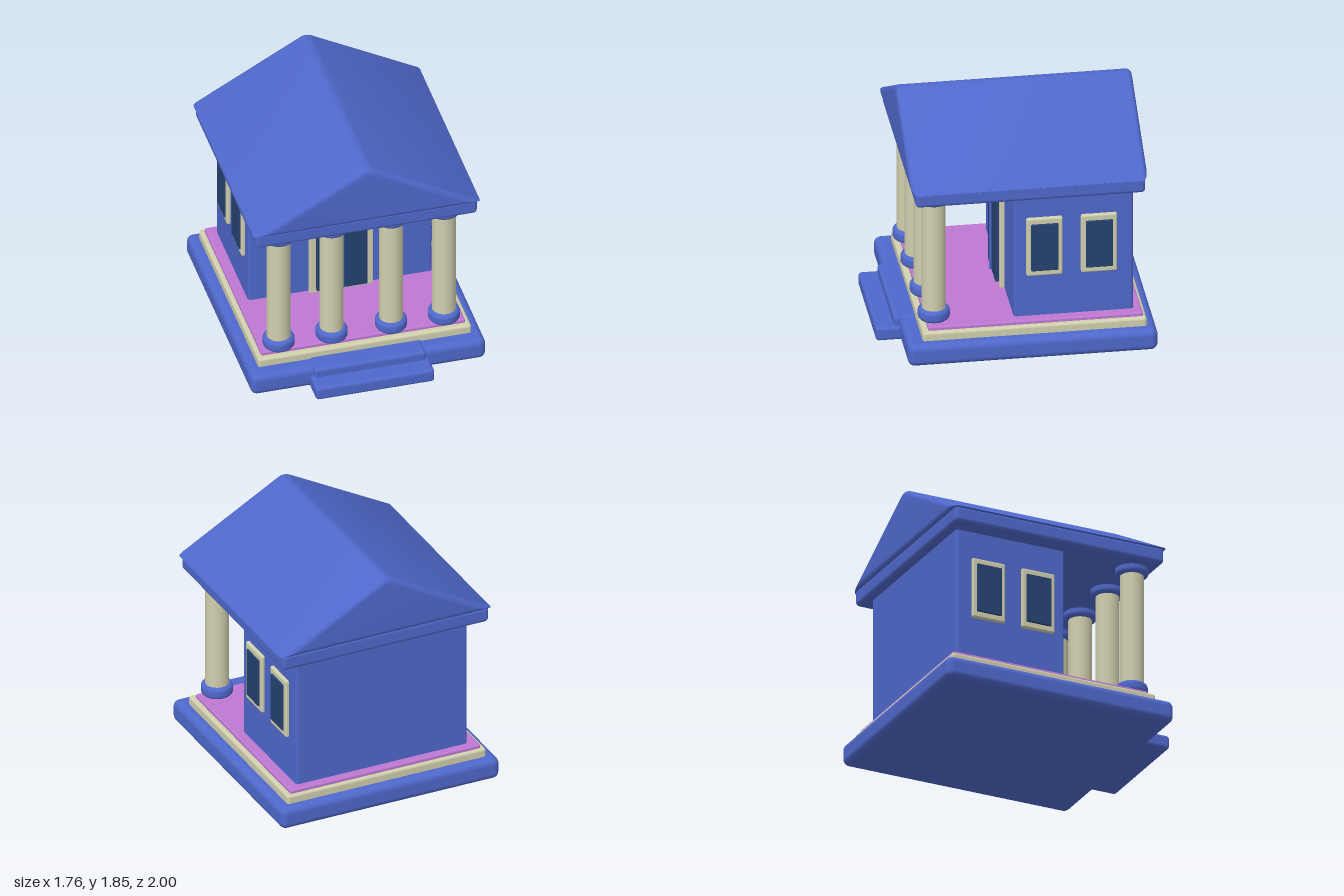
import * as THREE from 'three';
import { mergeVertices, toCreasedNormals } from 'three/addons/utils/BufferGeometryUtils.js';
import { RoundedBoxGeometry } from 'three/addons/geometries/RoundedBoxGeometry.js';

const material = (name, color) => {
  const m = new THREE.MeshStandardMaterial({ color });
  m.name = name;
  return m;
};

// Ridge roof: rounded triangle swept along z, shrinking towards its incentre at both gables
function roofGeometry(halfWidth, height, depth, bevel) {
  const r = halfWidth * Math.tan(Math.atan2(height, halfWidth) / 2);
  const s = new THREE.Shape();
  const slope = height / halfWidth;
  const tip = 0.045, eave = 0.015;
  s.moveTo(-halfWidth + eave, 0);
  s.lineTo(halfWidth - eave, 0);
  s.quadraticCurveTo(halfWidth, 0, halfWidth - eave, eave * slope);
  s.lineTo(tip, height - tip * slope);
  s.quadraticCurveTo(0, height, -tip, height - tip * slope);
  s.lineTo(-halfWidth + eave, eave * slope);
  s.quadraticCurveTo(-halfWidth, 0, -halfWidth + eave, 0);

  // Each station is [z, inset]
  const stations = [];
  const n = 5;
  for (let i = 0; i <= n; i++) {
    const a = (i / n) * Math.PI / 2;
    stations.push([-depth / 2 + bevel * (1 - Math.sin(a)), bevel * (1 - Math.cos(a))]);
  }
  stations.reverse();
  stations.forEach((st, i) => { stations[i] = [-depth / 2 + bevel * (1 - Math.cos(i / n * Math.PI / 2)), bevel * (1 - Math.sin(i / n * Math.PI / 2))]; });
  for (let i = n; i >= 0; i--) stations.push([-stations[i][0], stations[i][1]]);

  const steps = stations.length - 1;
  const g = new THREE.ExtrudeGeometry(s, { depth: 1, steps, bevelEnabled: false, curveSegments: 6 });
  const p = g.attributes.position;
  for (let i = 0; i < p.count; i++) {
    const [z, inset] = stations[Math.round(p.getZ(i) * steps)];
    const k = 1 - inset / r;
    p.setXYZ(i, p.getX(i) * k, r + (p.getY(i) - r) * k, z);
  }
  g.deleteAttribute('normal');
  g.deleteAttribute('uv');
  return toCreasedNormals(mergeVertices(g, 1e-5), 0.6);
}

// Lathed disc with rounded rims
function discGeometry(radius, y0, y1, rBottom, rTop) {
  const pts = [new THREE.Vector2(0, y0)];
  for (let i = 0; i <= 5; i++) {
    const a = (i / 5) * Math.PI / 2;
    pts.push(new THREE.Vector2(radius - rBottom * (1 - Math.sin(a)), y0 + rBottom * (1 - Math.cos(a))));
  }
  for (let i = 0; i <= 5; i++) {
    const a = (i / 5) * Math.PI / 2;
    pts.push(new THREE.Vector2(radius - rTop * (1 - Math.cos(a)), y1 - rTop * (1 - Math.sin(a))));
  }
  pts.push(new THREE.Vector2(0, y1));
  return new THREE.LatheGeometry(pts, 32);
}

export function createModel() {
  const blue = material('blue', 0x4f68cb);
  const cream = material('cream', 0xd0cfae);
  const violet = material('violet', 0xbe78d2);
  const navy = material('navy', 0x254170);

  const model = new THREE.Group();
  model.name = 'templeBuilding';

  const add = (parent, name, geometry, mat) => {
    const mesh = new THREE.Mesh(geometry, mat);
    mesh.name = name;
    parent.add(mesh);
    return mesh;
  };
  // Rounded block given by its extents
  const block = (parent, name, mat, [x0, x1], [y0, y1], [z0, z1], radius) => {
    const g = new RoundedBoxGeometry(x1 - x0, y1 - y0, z1 - z0, 4, radius);
    add(parent, name, g, mat).position.set((x0 + x1) / 2, (y0 + y1) / 2, (z0 + z1) / 2);
  };

  // Stepped platform
  block(model, 'base', blue, [-0.88, 0.88], [0, 0.17], [-1, 0.825], 0.05);
  block(model, 'plinth', cream, [-0.8, 0.8], [0.15, 0.235], [-0.93, 0.71], 0.02);
  block(model, 'floor', violet, [-0.765, 0.765], [0.21, 0.263], [-0.905, 0.665], 0.014);
  block(model, 'upperStep', blue, [-0.418, 0.418], [0.03, 0.18], [0.6, 0.865], 0.025);
  block(model, 'lowerStep', blue, [-0.445, 0.445], [0.003, 0.11], [0.7, 1], 0.025);

  // Hall
  block(model, 'hall', blue, [-0.69, 0.69], [0.24, 1.3], [-0.845, 0.03], 0.022);

  // Door
  const door = new THREE.Group();
  door.name = 'door';
  model.add(door);
  block(door, 'doorFrame', cream, [-0.24, 0.24], [0.255, 1.03], [0.01, 0.065], 0.012);
  block(door, 'doorPanel', navy, [-0.19, 0.19], [0.285, 0.975], [0.04, 0.09], 0.008);
  block(door, 'doorStrip', blue, [-0.011, 0.011], [0.295, 0.96], [0.07, 0.107], 0.008);

  // Two windows on each side wall
  for (const side of [1, -1]) {
    for (const z of [-0.193, -0.592]) {
      const win = new THREE.Group();
      win.name = side > 0 ? 'leftWindow' : 'rightWindow';
      win.position.set(side * 0.69, 0.83, z);
      model.add(win);
      block(win, 'windowFrame', cream, [-0.026, 0.026], [-0.235, 0.235], [-0.132, 0.132], 0.014);
      block(win, 'windowPane', navy, [-0.038, 0.038], [-0.19, 0.19], [-0.099, 0.099], 0.006);
    }
  }

  // Portico columns
  const shaft = new THREE.CylinderGeometry(0.087, 0.087, 0.96, 32, 1, true);
  const foot = discGeometry(0.117, 0.266, 0.357, 0.03, 0.03);
  const capital = discGeometry(0.122, 1.22, 1.29, 0.03, 0.01);
  for (const x of [-0.62, -0.223, 0.223, 0.62]) {
    const column = new THREE.Group();
    column.name = 'column';
    column.position.set(x, 0, 0.605);
    model.add(column);
    add(column, 'shaft', shaft, cream).position.y = 0.78;
    add(column, 'foot', foot, blue);
    add(column, 'capital', capital, blue);
  }

  // Entablature and gabled roof
  block(model, 'entablature', blue, [-0.83, 0.83], [1.275, 1.4], [-0.915, 0.765], 0.03);
  add(model, 'roof', roofGeometry(0.857, 0.477, 1.73, 0.04), blue).position.set(0, 1.385, -0.07);

  return model;
}
